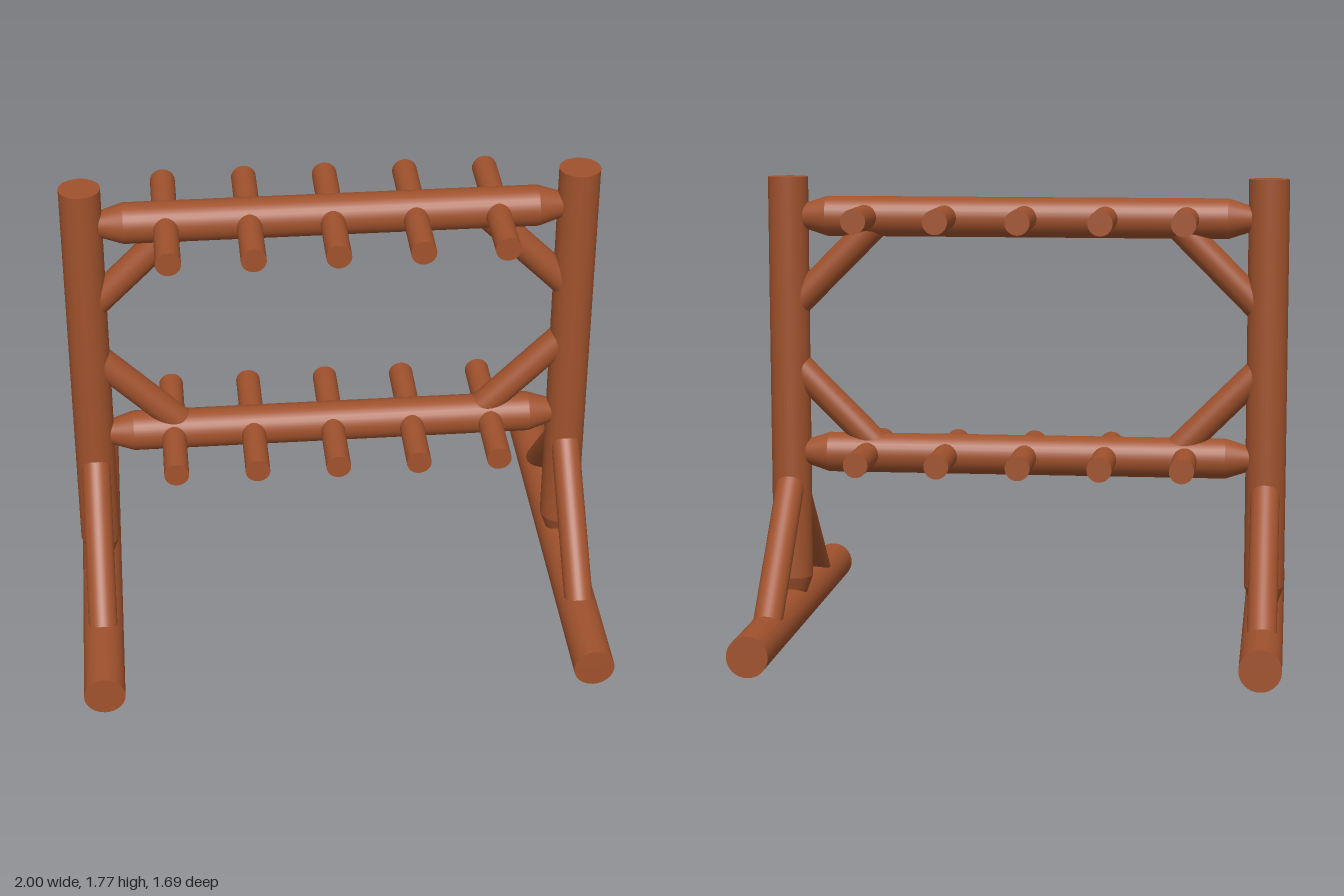
import * as THREE from 'three';

const wood = new THREE.MeshStandardMaterial({ color: 0xa0522d });
const UP = new THREE.Vector3(0, 1, 0);

// Round log running from point a to point b
function log(name, a, b, radius, endRadius = radius) {
  const from = new THREE.Vector3(...a), to = new THREE.Vector3(...b);
  const dir = to.clone().sub(from);
  const mesh = new THREE.Mesh(
    new THREE.CylinderGeometry(endRadius, radius, dir.length(), 32), wood);
  mesh.name = name;
  mesh.position.copy(from).add(to).multiplyScalar(0.5);
  mesh.quaternion.setFromUnitVectors(UP, dir.normalize());
  return mesh;
}

export function createModel() {
  const model = new THREE.Group();
  model.name = 'pegRack';
  const R = 0.077, TIP = 0.048, BRACE = 0.055, PEG = 0.047;
  const postX = 0.923, postTop = 1.766;
  const beams = [['lower', 0.695, 1], ['upper', 1.615, -1]];

  // End frames: foot, post with tapered base, two diagonal foot braces
  for (const [side, s] of [['left', 1], ['right', -1]]) {
    const x = s * postX;
    const frame = new THREE.Group();
    frame.name = side + 'EndFrame';
    frame.add(
      log('foot', [x, R, -0.845], [x, R, 0.845], R),
      log('post', [x, 0.2, 0], [x, postTop, 0], R),
      log('postTenon', [x, 0.2, 0], [x, 0.12, 0], R, TIP));
    for (const z of [-1, 1])
      frame.add(log('footBrace', [x, 0.605, 0], [x, R, z * 0.528], BRACE));
    model.add(frame);
  }

  // Cross beams with tapered ends, corner braces and pegs
  for (const [level, y, inward] of beams) {
    const group = new THREE.Group();
    group.name = level + 'Beam';
    group.add(log('beam', [-0.77, y, 0], [0.77, y, 0], R));
    for (const s of [-1, 1]) {
      group.add(
        log('beamTenon', [s * 0.77, y, 0], [s * 0.86, y, 0], R, TIP),
        log('cornerBrace', [s * 0.555, y, 0], [s * postX, y + inward * 0.368, 0], BRACE));
    }
    for (let i = -2; i <= 2; i++) {
      const x = i * 0.3075;
      group.add(log('peg', [x, y, -0.318], [x, y, 0.318], PEG));
    }
    model.add(group);
  }
  return model;
}
